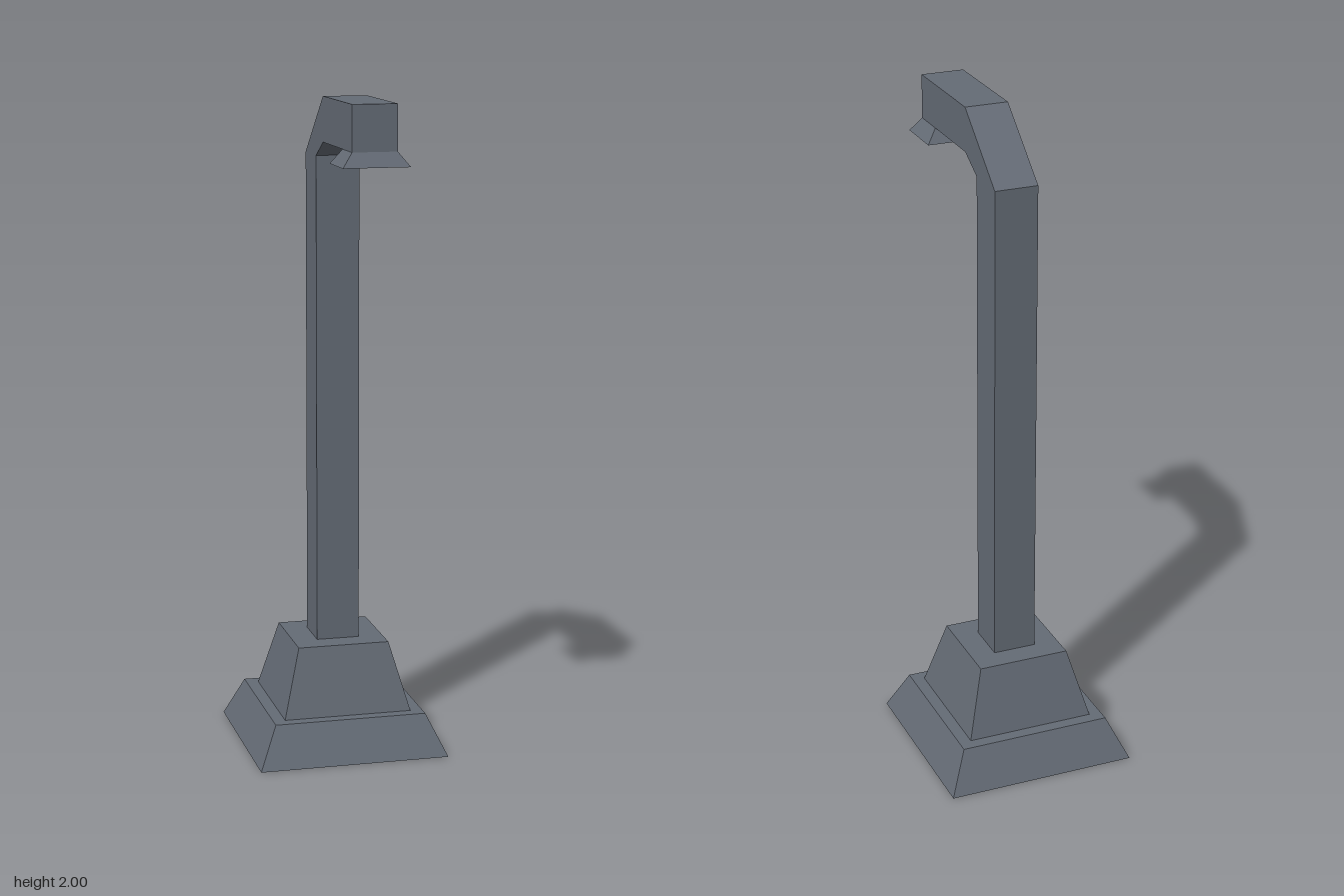
import * as THREE from 'three';

const material = new THREE.MeshStandardMaterial({ color: 0x646b75, flatShading: true });

// Tapered block: each end is [y, halfWidth, zBack, zFront]
function taperedBlock(name, bottom, top) {
  const geometry = new THREE.BoxGeometry(2, 2, 2);
  const p = geometry.attributes.position;
  for (let i = 0; i < p.count; i++) {
    const [y, half, back, front] = p.getY(i) > 0 ? top : bottom;
    p.setXYZ(i, p.getX(i) * half, y, p.getZ(i) > 0 ? front : back);
  }
  geometry.computeVertexNormals();
  const mesh = new THREE.Mesh(geometry, material);
  mesh.name = name;
  return mesh;
}

export function createModel() {
  const group = new THREE.Group();
  group.name = 'streetLamp';

  // Two-step plinth, set towards the back
  group.add(taperedBlock('lowerBase', [0, 0.292, -0.409, 0.175], [0.125, 0.234, -0.351, 0.117]));
  group.add(taperedBlock('upperBase', [0.125, 0.197, -0.314, 0.08], [0.333, 0.141, -0.258, 0.025]));

  // Square post bending forward into the arm: side outline in (z, y)
  const outline = new THREE.Shape([
    [-0.185, 0.333], [-0.05, 0.333], [-0.05, 1.82], [0.037, 1.867],
    [0.383, 1.867], [0.383, 2], [0.037, 2], [-0.185, 1.82],
  ].map(([z, y]) => new THREE.Vector2(z, y)));
  const width = 0.132;
  const geometry = new THREE.ExtrudeGeometry(outline, { depth: width, bevelEnabled: false });
  geometry.translate(0, 0, -width / 2).rotateY(-Math.PI / 2);
  const post = new THREE.Mesh(geometry, material);
  post.name = 'postAndArm';
  group.add(post);

  // Flared lamp shade under the end of the arm
  group.add(taperedBlock('lampShade', [1.825, 0.098, 0.25, 0.407], [1.867, 0.066, 0.274, 0.383]));

  return group;
}
